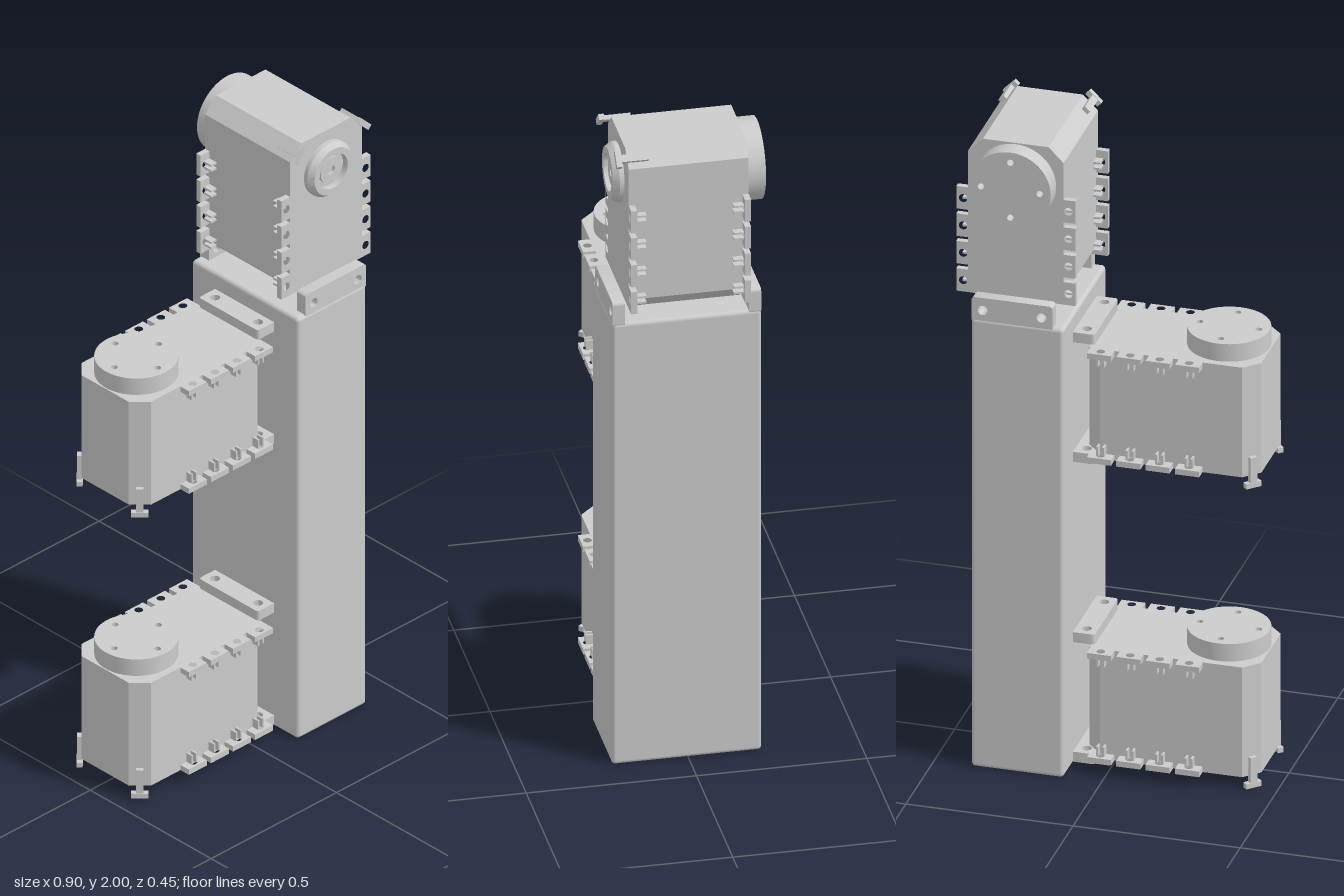
import * as THREE from 'three';
import { RoundedBoxGeometry } from 'three/addons/geometries/RoundedBoxGeometry.js';
import { toCreasedNormals } from 'three/addons/utils/BufferGeometryUtils.js';

const material = new THREE.MeshStandardMaterial({ color: 0xcccccc });

function add(parent, name, geometry, x = 0, y = 0, z = 0) {
  const mesh = new THREE.Mesh(geometry, material);
  mesh.name = name;
  mesh.position.set(x, y, z);
  parent.add(mesh);
  return mesh;
}

const box = (w, h, d) => new THREE.BoxGeometry(w, h, d);

// Slab drawn in the (x, z) plane and raised along y from 0 to height
function slab(points, height, holes = []) {
  const shape = new THREE.Shape(points.map(([x, z]) => new THREE.Vector2(x, -z)));
  return raise(shape, height, holes);
}

function raise(shape, height, holes) {
  for (const [x, z, r] of holes) {
    shape.holes.push(new THREE.Path().absarc(x, -z, r, 0, Math.PI * 2, true));
  }
  const geometry = new THREE.ExtrudeGeometry(shape, { depth: height, bevelEnabled: false, curveSegments: 32 });
  return toCreasedNormals(geometry.rotateX(-Math.PI / 2), 0.5);
}

// Plate with rounded corners, centred in x and z
function roundedPlate(w, d, height, r, holes) {
  const s = new THREE.Shape();
  const x = w / 2, y = d / 2, q = Math.PI / 2;
  s.absarc(x - r, y - r, r, 0, q);
  s.absarc(-x + r, y - r, r, q, 2 * q);
  s.absarc(-x + r, -y + r, r, 2 * q, 3 * q);
  s.absarc(x - r, -y + r, r, 3 * q, 4 * q);
  return raise(s, height, holes);
}

// Servo: output axis along +y, case stretching along +x
function createServo(name) {
  const servo = new THREE.Group();
  servo.name = name;
  const start = -0.125, end = 0.39, half = 0.143, c = 0.045, top = 0.176, t = 0.018;

  // Case with four chamfered corners
  add(servo, 'case', slab([
    [start + c, -half], [end - c, -half], [end, -half + c], [end, half - c],
    [end - c, half], [start + c, half], [start, half - c], [start, -half + c],
  ], 2 * (top - t)), 0, -top + t, 0);

  // End plates with drilled mounting tabs and gussets
  for (const side of [1, -1]) {
    const y = side > 0 ? top - t : -top;
    add(servo, 'endPlate', slab([
      [start + c, -half], [0.374, -half], [0.374, half],
      [start + c, half], [start, half - c], [start, -half + c],
    ], t), 0, y, 0);
    for (const u of [0.074, 0.162, 0.25, 0.338]) {
      for (const s of [1, -1]) {
        add(servo, 'mountingTab', slab(
          [[-0.036, -0.0175], [0.036, -0.0175], [0.036, 0.0175], [-0.036, 0.0175]],
          t, [[0, -s * 0.003, 0.0125]]), u, y, s * (half + 0.0175));
        for (const g of [-0.009, 0.009]) {
          add(servo, 'gusset', box(0.006, 0.03, 0.022), u + g, side * (top - t - 0.015), s * (half + 0.011));
        }
      }
    }
  }

  // Output horn with four screw holes
  const horn = new THREE.Shape().absarc(0, 0, 0.121, 0, Math.PI * 2);
  add(servo, 'horn', raise(horn, 0.056,
    [[0.088, 0, 0.01], [-0.088, 0, 0.01], [0, 0.088, 0.01], [0, -0.088, 0.01]]), 0, top, 0);

  // Rear bearing cap with recessed rings
  const cap = [[0, 0.012], [0.014, 0.012], [0.014, 0.022], [0.042, 0.022], [0.042, 0.012],
    [0.056, 0.012], [0.056, 0.032], [0.076, 0.032], [0.088, 0.014], [0.088, 0]];
  const profile = cap.reverse().map(([r, h]) => new THREE.Vector2(r, h));
  add(servo, 'bearingCap', toCreasedNormals(new THREE.LatheGeometry(profile, 48), 0.4), 0, -top, 0)
    .rotation.x = Math.PI;

  // Cable clips on the two chamfers beside the horn
  for (const s of [1, -1]) {
    const clip = new THREE.Group();
    clip.name = 'cableClip';
    clip.position.set(start + c / 2, 0, s * (half - c / 2));
    clip.rotation.y = s * Math.PI / 4;
    add(clip, 'clipStrip', box(0.014, 0.09, 0.022), -0.006, -0.16, 0);
    add(clip, 'clipFoot', box(0.018, 0.016, 0.05), -0.005, -0.203, 0);
    servo.add(clip);
  }
  return servo;
}

export function createModel() {
  const model = new THREE.Group();
  model.name = 'servoArm';
  const zc = 0.004;

  // Main beam
  add(model, 'beam', new RoundedBoxGeometry(0.276, 1.44, 0.44, 3, 0.012), 0.25, 0.722, zc);

  // Two side servos, each held by a pair of drilled brackets
  for (const y of [0.217, 1.18]) {
    const servo = createServo('sideServo');
    servo.position.set(-0.32, y, zc);
    model.add(servo);
    for (const by of [0.176, -0.208]) {
      add(model, 'sideBracket', roundedPlate(0.078, 0.244, 0.032, 0.01,
        [[-0.006, 0.089, 0.0145], [-0.006, -0.089, 0.0145]]), 0.086, y + by, zc);
    }
  }

  // Upright servo on top, horn to the back
  const topServo = createServo('topServo');
  topServo.quaternion.setFromRotationMatrix(new THREE.Matrix4().makeBasis(
    new THREE.Vector3(0, -1, 0), new THREE.Vector3(0, 0, -1), new THREE.Vector3(1, 0, 0)));
  topServo.position.set(0.267, 1.875, zc);
  model.add(topServo);

  // Upright bracket plates gripping the top servo
  for (const s of [1, -1]) {
    const plate = roundedPlate(0.242, 0.08, 0.036, 0.01, [[-0.088, 0, 0.0145], [0.088, 0, 0.0145]]);
    add(model, 'topBracket', plate, 0.266, 1.47, zc + (s > 0 ? 0.182 : -0.218)).rotation.x = Math.PI / 2;
  }
  return model;
}
